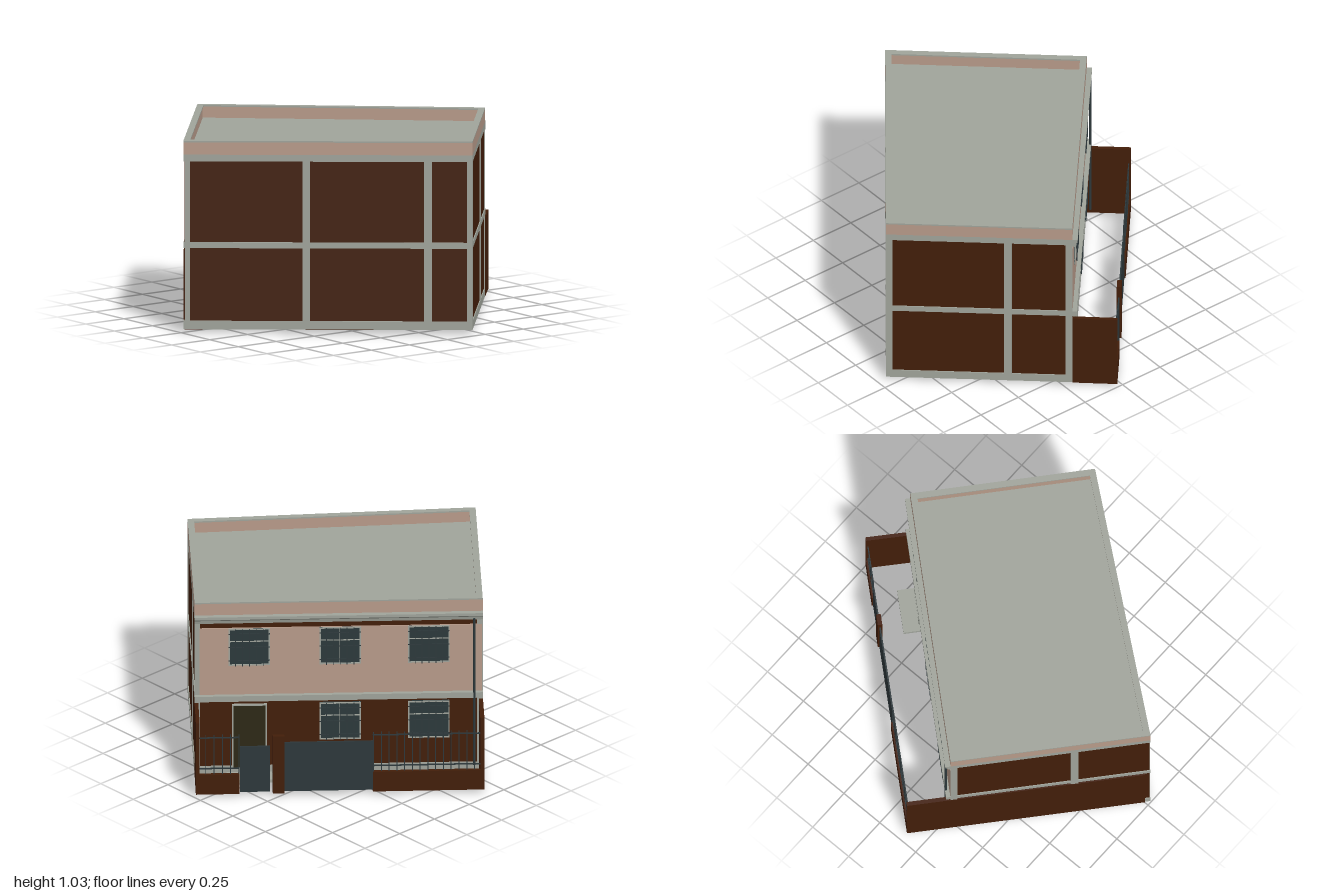
import * as THREE from 'three';

const mat = (name, color) => {
  const m = new THREE.MeshStandardMaterial({ color });
  m.name = name;
  return m;
};

export function createModel() {
  const brick = mat('brown brick', 0x431e09);
  const concrete = mat('grey concrete', 0xa0a49b);
  const plaster = mat('pink plaster', 0xb89b8a);
  const metal = mat('slate metal', 0x2d383b);
  const glass = mat('dark glass', 0x2c393c);
  const wood = mat('dark wood', 0x2d2816);
  const model = new THREE.Group();
  model.name = 'house';

  // Plan corners [x, z], counterclockwise seen from above
  const D = [0.02, 1.0], C = [0.955, -0.2], B = [0.213, -0.843], A = [-0.781, 0.303];
  const W2 = [0.035, -1.0], W1 = [-0.955, 0.15];
  const plan = [D, C, B, A];
  const dist = (p, q) => Math.hypot(q[0] - p[0], q[1] - p[1]);

  // Move every side of the plan inwards by d
  const inset = (pts, d) => pts.map((p, i) => {
    const prev = pts[(i + 3) % 4], next = pts[(i + 1) % 4];
    const l1 = dist(prev, p), l2 = dist(p, next);
    const n1 = [(p[1] - prev[1]) / l1, -(p[0] - prev[0]) / l1];
    const n2 = [(next[1] - p[1]) / l2, -(next[0] - p[0]) / l2];
    const k = d / (1 + n1[0] * n2[0] + n1[1] * n2[1]);
    return [p[0] + (n1[0] + n2[0]) * k, p[1] + (n1[1] + n2[1]) * k];
  });

  // Horizontal slab or ring extruded from y0 to y1
  const slab = (name, outer, inner, y0, y1, material) => {
    const toV = (pts) => pts.map(([x, z]) => new THREE.Vector2(x, -z));
    const shape = new THREE.Shape(toV(outer));
    if (inner) shape.holes.push(new THREE.Path(toV(inner)));
    const geo = new THREE.ExtrudeGeometry(shape, { depth: y1 - y0, bevelEnabled: false });
    geo.rotateX(-Math.PI / 2).translate(0, y0, 0);
    const mesh = new THREE.Mesh(geo, material);
    mesh.name = name;
    model.add(mesh);
  };

  // Side group: local x runs from p to q, local z points outwards
  const side = (name, p, q) => {
    const g = new THREE.Group();
    g.name = name;
    g.position.set(p[0], 0, p[1]);
    g.rotation.y = Math.atan2(p[1] - q[1], q[0] - p[0]);
    model.add(g);
    return g;
  };
  const box = (g, name, x0, x1, y0, y1, z0, z1, material) => {
    const mesh = new THREE.Mesh(new THREE.BoxGeometry(x1 - x0, y1 - y0, z1 - z0), material);
    mesh.position.set((x0 + x1) / 2, (y0 + y1) / 2, (z0 + z1) / 2);
    mesh.name = name;
    g.add(mesh);
  };

  // Hollow walls without a floor, ring beams, roof and parapet
  slab('walls', inset(plan, 0.005), inset(plan, 0.036), 0.02, 0.945, brick);
  const core = inset(plan, 0.03);
  slab('baseBeam', plan, core, 0.022, 0.067, concrete);
  slab('floorBeam', plan, core, 0.456, 0.488, concrete);
  slab('roofBeam', plan, core, 0.92, 0.956, concrete);
  slab('roof', inset(plan, 0.02), null, 0.94, 0.962, concrete);
  slab('parapet', plan, core, 0.956, 1.022, plaster);
  slab('parapetCap', plan, inset(plan, 0.034), 1.022, 1.03, concrete);

  // Columns on the three plain sides
  const columns = (g, list) => list.forEach(([a, b]) => box(g, 'column', a, b, 0.03, 0.95, -0.03, 0, concrete));
  const long = side('longSide', D, C), lLong = dist(D, C);
  columns(long, [[0.008, 0.035], [0.425 * lLong - 0.02, 0.425 * lLong + 0.02],
    [0.846 * lLong - 0.02, 0.846 * lLong + 0.02], [lLong - 0.025, lLong]]);
  const end = side('narrowEnd', C, B), lEnd = dist(C, B);
  columns(end, [[0, 0.035], [0.655 * lEnd - 0.02, 0.655 * lEnd + 0.02], [lEnd - 0.036, lEnd]]);
  const wide = side('wideEnd', A, D), lWide = dist(A, D);
  columns(wide, [[0, 0.036], [0.62 * lWide - 0.02, 0.62 * lWide + 0.02]]);

  // Facade: plaster upper floor, cornice and band
  const facade = side('facade', B, A), L = dist(B, A);
  box(facade, 'upperPlaster', 0.025, L - 0.005, 0.488, 0.878, -0.01, 0.001, plaster);
  box(facade, 'floorBand', 0, L, 0.456, 0.488, -0.01, 0.024, concrete);
  const profile = new THREE.Shape([[0, 0.912], [0.012, 0.912], [0.016, 0.93], [0.028, 0.94], [0.028, 0.956], [0, 0.956]]
    .map(([x, y]) => new THREE.Vector2(x, y)));
  const cornice = new THREE.Mesh(
    new THREE.ExtrudeGeometry(profile, { depth: L, bevelEnabled: false }), concrete);
  cornice.rotation.y = -Math.PI / 2;
  cornice.position.x = L;
  cornice.name = 'cornice';
  facade.add(cornice);

  // Frame of four bars around an opening, reaching through the wall
  const frame = (g, x0, x1, y0, y1, t, z) => {
    box(g, 'frameSide', x0, x0 + t, y0, y1, -0.04, z, concrete);
    box(g, 'frameSide', x1 - t, x1, y0, y1, -0.04, z, concrete);
    box(g, 'frameTop', x0, x1, y1 - t, y1, -0.04, z, concrete);
    box(g, 'frameBottom', x0, x1, y0, y0 + t, -0.04, z, concrete);
  };

  // Windows with slim security bars
  const windowAt = (u, y0) => {
    const g = new THREE.Group();
    g.name = 'window';
    g.position.set(u * L, y0, 0);
    facade.add(g);
    const w = 0.109, h = 0.216;
    box(g, 'glass', -w, w, 0, h, -0.038, 0.003, glass);
    frame(g, -w, w, 0, h, 0.007, 0.007);
    box(g, 'mullion', -0.003, 0.003, 0, h, 0, 0.006, concrete);
    box(g, 'transom', -w, w, h * 0.64, h * 0.64 + 0.005, 0, 0.006, concrete);
    for (let i = 1; i < 6; i++) {
      const x = -w + (2 * w * i) / 6;
      box(g, 'bar', x - 0.002, x + 0.002, 0, h, 0.012, 0.016, metal);
    }
    for (const y of [0.03, h / 2, h - 0.03]) box(g, 'barRail', -w, w, y, y + 0.004, 0.011, 0.015, metal);
  };
  for (const u of [0.19, 0.505, 0.813]) windowAt(u, 0.66);
  for (const u of [0.505, 0.813]) windowAt(u, 0.217);

  // Door, steps and drainpipe
  box(facade, 'door', 0.205, 0.375, 0.055, 0.425, -0.038, 0.003, wood);
  frame(facade, 0.198, 0.382, 0.05, 0.43, 0.008, 0.008);
  box(facade, 'upperStep', 0.167, 0.408, 0.012, 0.03, -0.005, 0.093, concrete);
  box(facade, 'lowerStep', 0.185, 0.39, 0, 0.02, -0.025, 0.035, concrete);
  const pipe = new THREE.Mesh(new THREE.CylinderGeometry(0.007, 0.007, 0.86, 10), metal);
  pipe.position.set(0.97 * L, 0.49, 0.02);
  pipe.name = 'drainpipe';
  facade.add(pipe);

  // Yard side walls, in line with the ends of the house
  const yardA = side('longYardWall', W1, D);
  box(yardA, 'yardWall', 0, dist(W1, D) - 0.03, 0.02, 0.44, -0.02, 0.002, brick);
  const yardB = side('shortYardWall', B, W2);
  box(yardB, 'yardWall', 0, dist(B, W2), 0.02, 0.44, -0.02, 0, brick);

  // Street fence: low walls with railings, pillar and two gates
  const fence = side('streetFence', W2, W1), F = dist(W2, W1);
  const railing = (x0, x1) => {
    box(fence, 'lowWall', x0, x1, 0.02, 0.135, -0.02, 0, brick);
    for (const y of [0.165, 0.345]) box(fence, 'rail', x0, x1, y, y + 0.006, -0.013, -0.007, metal);
    const n = Math.round((x1 - x0) / 0.042);
    for (let i = 0; i <= n; i++) {
      const x = x0 + 0.004 + ((x1 - x0 - 0.008) * i) / n;
      box(fence, 'railingBar', x - 0.0025, x + 0.0025, 0.13, 0.365, -0.0125, -0.0075, metal);
    }
  };
  railing(0.005, 0.152 * F);
  railing(0.614 * F, F - 0.005);
  box(fence, 'smallGate', 0.154 * F, 0.258 * F, 0.028, 0.295, -0.014, -0.006, metal);
  box(fence, 'gatePillar', 0.267 * F, 0.307 * F, 0.02, 0.355, -0.022, 0.002, brick);
  box(fence, 'largeGate', 0.307 * F, 0.614 * F, 0.028, 0.315, -0.014, -0.006, metal);

  return model;
}
